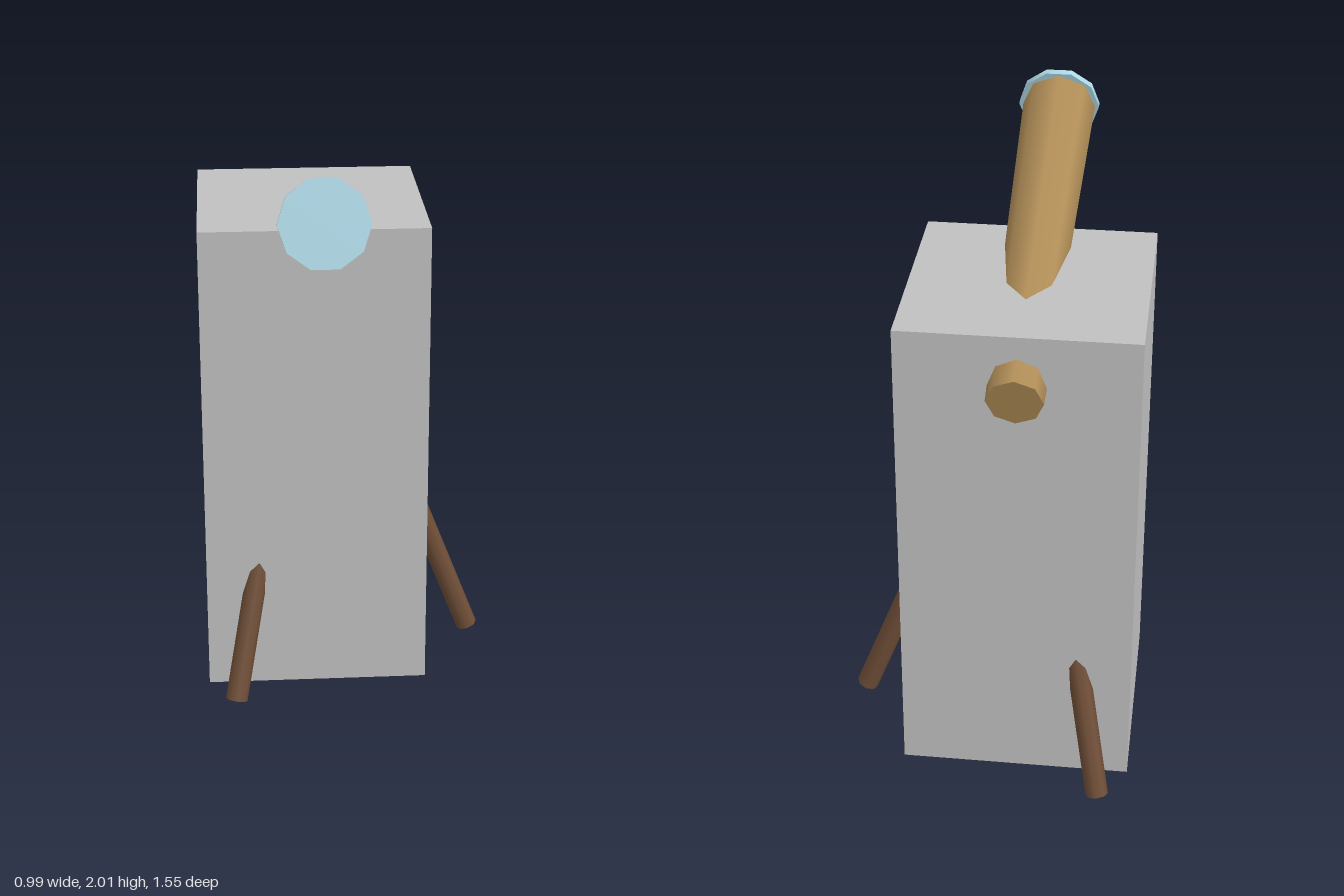
import * as THREE from 'three';

export function createModel() {
  const group = new THREE.Group();
  const mat = (name, color) => {
    const m = new THREE.MeshStandardMaterial({ color });
    m.name = name;
    return m;
  };
  const grey = mat('grey', 0xc0c0c0);
  const brass = mat('brass', 0xb08d57);
  const wood = mat('brown', 0x6f4e37);
  const glass = mat('lightBlue', 0xadd8e6);

  const cx = -0.117, cz = -0.238;
  const up = new THREE.Vector3(0, 1, 0);

  const add = (name, geometry, material, x, y, z) => {
    const mesh = new THREE.Mesh(geometry, material);
    mesh.name = name;
    mesh.position.set(x, y, z);
    group.add(mesh);
    return mesh;
  };

  // Block
  add('block', new THREE.BoxGeometry(0.763, 1.657, 0.763), grey, cx, 0.847, cz);

  // Tapered tube, tilted upward to the front, with a lens disc on its end
  const tilt = 15.3 * Math.PI / 180;
  const axis = new THREE.Vector3(0, Math.sin(tilt), Math.cos(tilt));
  const back = new THREE.Vector3(cx, 1.488, -0.684);
  const tubeLength = 1.455, lensDepth = 0.024;
  const along = (d) => back.clone().addScaledVector(axis, d).toArray();

  const tube = add('tube', new THREE.CylinderGeometry(0.126, 0.09, tubeLength, 8),
    brass, ...along(tubeLength / 2));
  tube.rotation.x = Math.PI / 2 - tilt;

  const lensGeometry = new THREE.CylinderGeometry(0.14, 0.14, lensDepth, 10);
  lensGeometry.rotateY(Math.PI / 2);
  const lens = add('lens', lensGeometry, glass, ...along(tubeLength + lensDepth / 2));
  lens.rotation.x = Math.PI / 2 - tilt;

  // Three splayed legs, running up inside the block
  const splay = 21.2 * Math.PI / 180, legLength = 1.25;
  const legGeometry = new THREE.CylinderGeometry(0.038, 0.038, legLength, 8);
  for (let i = 0; i < 3; i++) {
    const a = i * Math.PI * 2 / 3;
    const out = new THREE.Vector3(Math.cos(a), 0, Math.sin(a));
    const dir = out.clone().multiplyScalar(-Math.sin(splay)).addScaledVector(up, Math.cos(splay));
    const p = new THREE.Vector3(cx, 0.014, cz)
      .addScaledVector(out, 0.576)
      .addScaledVector(dir, legLength / 2);
    const leg = add('leg' + (i + 1), legGeometry, wood, p.x, p.y, p.z);
    leg.quaternion.setFromUnitVectors(up, dir);
  }

  return group;
}
